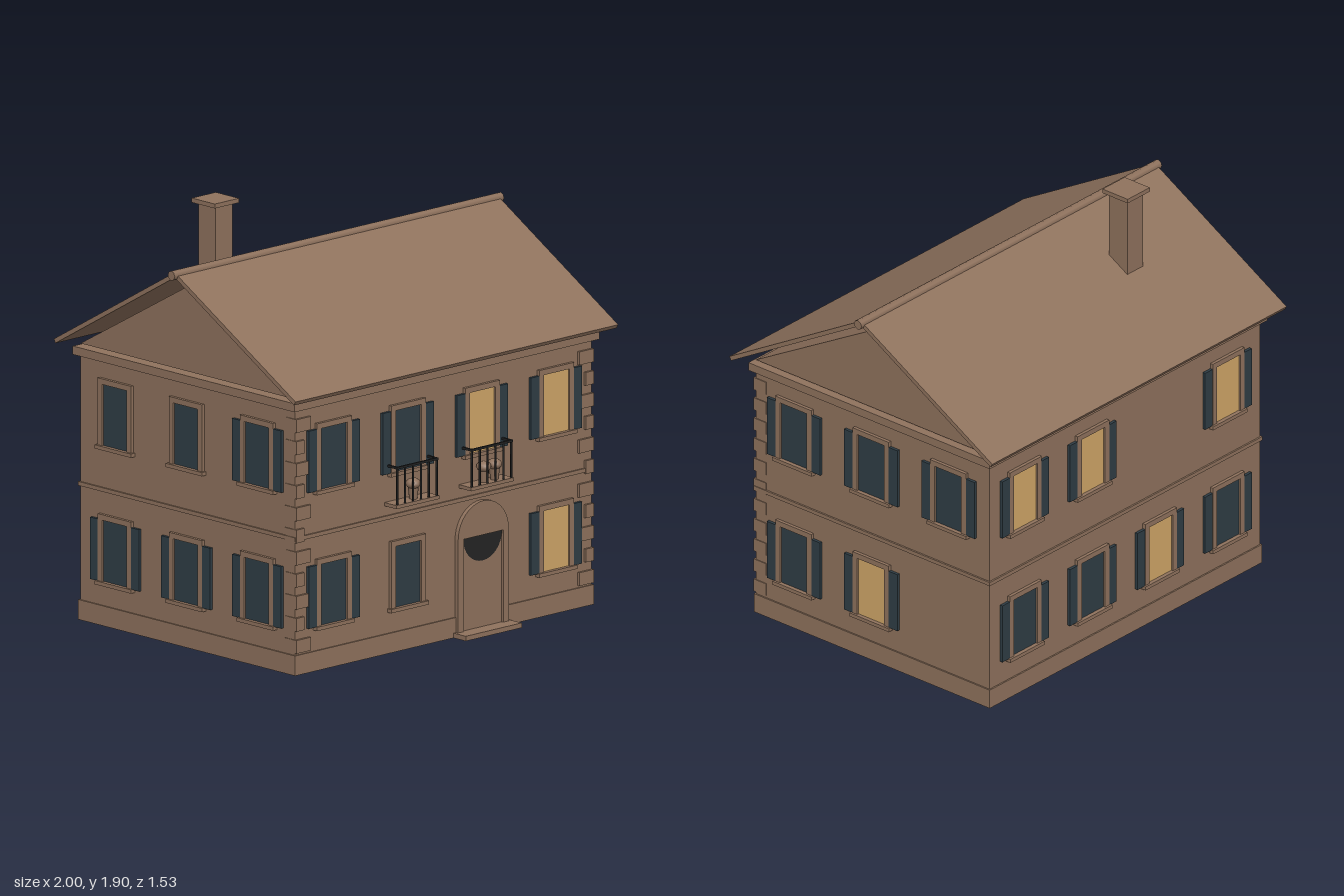
import * as THREE from 'three';

const mat = (name, color, extra = {}) => Object.assign(new THREE.MeshStandardMaterial({ color, ...extra }), { name });

export function createModel() {
  const house = new THREE.Group();
  house.name = 'house';
  const stone = mat('brown stone', 0x8f725d);
  const slate = mat('dark blue', 0x2f3d45);
  const glow = mat('lit glass', 0xd0a668);
  const iron = mat('black iron', 0x222222);
  const fan = mat('dark glass', 0x242424, { side: THREE.DoubleSide });

  const add = (parent, name, geo, material, x = 0, y = 0, z = 0) => {
    const m = new THREE.Mesh(geo, material);
    m.name = name;
    m.position.set(x, y, z);
    parent.add(m);
    return m;
  };
  // box given by its ranges on each axis
  const box = (parent, name, material, x0, x1, y0, y1, z0, z1) =>
    add(parent, name, new THREE.BoxGeometry(x1 - x0, y1 - y0, z1 - z0), material,
      (x0 + x1) / 2, (y0 + y1) / 2, (z0 + z1) / 2);
  const group = (parent, name, x = 0, y = 0, z = 0) => {
    const g = new THREE.Group();
    g.name = name;
    g.position.set(x, y, z);
    parent.add(g);
    return g;
  };

  // main body and its horizontal bands
  const W = 0.9, D = 0.68;
  box(house, 'walls', stone, -W, W, 0, 1.21, -D, D);
  box(house, 'plinth', stone, -0.907, 0.907, 0, 0.09, -0.687, 0.687);
  box(house, 'stringCourse', stone, -0.908, 0.908, 0.607, 0.625, -0.688, 0.688);
  box(house, 'cornice', stone, -0.925, 0.925, 1.2, 1.238, -0.703, 0.703);

  // gable prism
  const tri = new THREE.Shape([[-D, 1.25], [D, 1.25], [0, 1.635]].map(p => new THREE.Vector2(...p)));
  const gable = add(house, 'gable', new THREE.ExtrudeGeometry(tri, { depth: 2 * W, bevelEnabled: false }), stone, -W);
  gable.rotation.y = Math.PI / 2;

  // roof slabs and ridge
  const slope = Math.atan2(0.44, 0.76);
  for (const s of [1, -1]) {
    const slab = add(house, 'roofSlab', new THREE.BoxGeometry(1.96, 0.02, 0.88), stone, 0, 1.48, s * 0.38);
    slab.rotation.x = s * slope;
  }
  const ridge = add(house, 'ridge', new THREE.CylinderGeometry(0.022, 0.022, 2, 8), stone, 0, 1.7, 0);
  ridge.rotation.z = Math.PI / 2;

  // chimney
  box(house, 'chimney', stone, -0.505, -0.4, 1.238, 1.885, -0.345, -0.237);
  box(house, 'chimneyCap', stone, -0.527, -0.38, 1.88, 1.9, -0.365, -0.218);

  // quoins on the two front corners
  for (const s of [1, -1]) for (let i = 0; i < 11; i++) {
    const w = i % 2 ? 0.045 : 0.085, y = 0.1 + i * 0.1;
    const a = s * (W + 0.004), b = s * (W - w);
    box(house, 'quoin', stone, Math.min(a, b), Math.max(a, b), y, y + 0.06, 0.62, D + 0.012);
  }

  // window: pane, frame with an opening, sill and optional shutters
  const frameShape = new THREE.Shape([[-0.105, 0], [0.105, 0], [0.105, 0.305], [-0.105, 0.305]].map(p => new THREE.Vector2(...p)));
  frameShape.holes.push(new THREE.Path([[-0.078, 0], [-0.078, 0.28], [0.078, 0.28], [0.078, 0]].map(p => new THREE.Vector2(...p))));
  const frameGeo = new THREE.ExtrudeGeometry(frameShape, { depth: 0.015, bevelEnabled: false });
  const addWindow = (wall, x, y, lit, shutters) => {
    const g = group(wall, 'window', x, y, 0);
    box(g, 'pane', lit ? glow : slate, -0.08, 0.08, 0, 0.28, 0, 0.006);
    add(g, 'frame', frameGeo, stone);
    box(g, 'sill', stone, -0.115, 0.115, -0.015, 0.002, 0, 0.025);
    if (shutters) for (const s of [1, -1])
      box(g, 'shutter', slate, s * 0.13 - 0.025, s * 0.13 + 0.025, 0, 0.28, 0, 0.014);
  };

  // per wall: D dark, L lit, d dark without shutters, - none; left to right seen from outside
  const walls = [
    { name: 'frontWall', turn: 0, off: D, step: 0.45, upper: 'DDLL', lower: 'Dd-L' },
    { name: 'backWall', turn: Math.PI, off: D, step: 0.45, upper: 'LL-L', lower: 'DDLD' },
    { name: 'leftWall', turn: Math.PI / 2, off: W, step: 0.45, upper: 'DDD', lower: 'DL-' },
    { name: 'rightWall', turn: -Math.PI / 2, off: W, step: 0.45, upper: 'ddD', lower: 'DDD' },
  ];
  for (const { name, turn, off, step, upper, lower } of walls) {
    const wall = group(house, name, Math.sin(turn) * off, 0, Math.cos(turn) * off);
    wall.rotation.y = turn;
    [[upper, 0.815], [lower, 0.2]].forEach(([row, y]) => [...row].forEach((c, i) => {
      if (c !== '-') addWindow(wall, (i - (row.length - 1) / 2) * step, y, c === 'L', c !== 'd');
    }));
  }

  // doorway with arched head, fanlight and step
  const door = group(house, 'doorway', 0.225, 0, D);
  box(door, 'door', stone, -0.12, 0.12, 0.02, 0.44, 0, 0.01);
  for (const s of [1, -1])
    box(door, 'doorJamb', stone, s * 0.137 - 0.017, s * 0.137 + 0.017, 0, 0.44, 0, 0.02);
  const head = new THREE.Shape();
  head.absarc(0, 0, 0.154, 0, Math.PI, false);
  add(door, 'archHead', new THREE.ExtrudeGeometry(head, { depth: 0.02, bevelEnabled: false, curveSegments: 10 }), stone, 0, 0.44, 0);
  add(door, 'fanlight', new THREE.CircleGeometry(0.118, 16, Math.PI, Math.PI), fan, 0, 0.44, 0.014);
  box(door, 'doorStep', stone, -0.17, 0.17, 0, 0.022, 0, 0.085);

  // balconies with railings and potted plants
  for (const [x, pots] of [[-0.228, [0.01]], [0.225, [-0.015, 0.05]]]) {
    const b = group(house, 'balcony', x, 0.67, D);
    box(b, 'balconySlab', stone, -0.13, 0.13, 0, 0.016, 0, 0.077);
    box(b, 'frontRail', iron, -0.125, 0.125, 0.178, 0.188, 0.066, 0.076);
    for (const s of [1, -1])
      box(b, 'sideRail', iron, s * 0.12 - 0.005, s * 0.12 + 0.005, 0.178, 0.188, 0.012, 0.07);
    for (let i = 0; i < 6; i++)
      add(b, 'baluster', new THREE.CylinderGeometry(0.005, 0.005, 0.168, 6), iron, -0.12 + i * 0.048, 0.098, 0.071);
    for (const px of pots) {
      add(b, 'flowerPot', new THREE.CylinderGeometry(0.024, 0.018, 0.055, 8), stone, px, 0.043, 0.037);
      const plant = add(b, 'plant', new THREE.IcosahedronGeometry(0.034, 1), stone, px, 0.085, 0.037);
      plant.scale.y = 0.75;
    }
  }
  return house;
}
